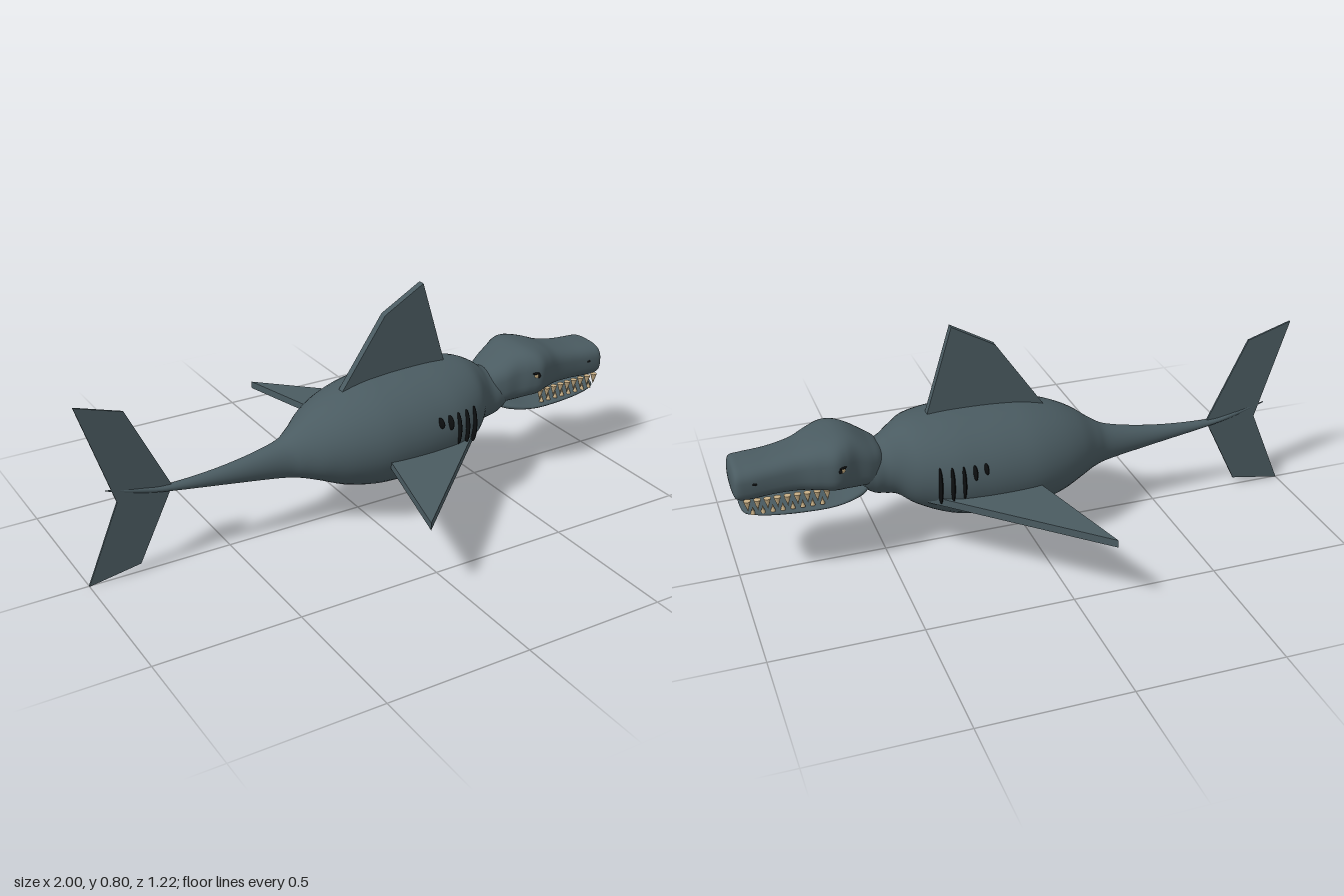
import * as THREE from 'three';

const mat = (name, color, side = THREE.FrontSide) => {
  const m = new THREE.MeshStandardMaterial({ color, side });
  m.name = name;
  return m;
};

// Closed skin through cross-sections [x, top, bottom, halfWidth]; power < 1 squares the section off
function loft(sections, power, steps, sides = 32) {
  const sizes = new THREE.CatmullRomCurve3(sections.map(s => new THREE.Vector3(s[1], s[2], s[3])));
  const xs = new THREE.CatmullRomCurve3(sections.map(s => new THREE.Vector3(s[0], 0, 0)));
  sizes.curveType = xs.curveType = 'catmullrom';
  const bend = v => Math.sign(v) * Math.pow(Math.abs(v), power);
  const pos = [], index = [];
  for (let i = 0; i <= steps; i++) {
    const s = sizes.getPoint(i / steps), x = xs.getPoint(i / steps).x;
    for (let j = 0; j < sides; j++) {
      const a = (j / sides) * Math.PI * 2;
      pos.push(x, (s.x + s.y) / 2 + bend(Math.sin(a)) * (s.x - s.y) / 2, bend(Math.cos(a)) * s.z);
      if (i < steps) {
        const p = i * sides + j, q = i * sides + (j + 1) % sides;
        index.push(p, p + sides, q + sides, p, q + sides, q);
      }
    }
  }
  const g = new THREE.BufferGeometry();
  g.setAttribute('position', new THREE.Float32BufferAttribute(pos, 3));
  g.setIndex(index);
  g.computeVertexNormals();
  return g;
}

// Flat fin of constant thickness, centred on its own plane
function finGeometry(points, thickness) {
  const shape = new THREE.Shape(points.map(p => new THREE.Vector2(...p)));
  const g = new THREE.ExtrudeGeometry(shape, { depth: thickness, bevelEnabled: false });
  return g.translate(0, 0, -thickness / 2);
}

export function createModel() {
  const group = new THREE.Group();
  const skin = mat('slate skin', 0x4a5b61);
  const black = mat('black', 0x0c0e0f);
  const ivory = mat('ivory teeth', 0xc9b086);
  const amber = mat('eye', 0xb09a72);
  const add = (name, geometry, material, x = 0, y = 0, z = 0) => {
    const m = new THREE.Mesh(geometry, material);
    m.name = name;
    m.position.set(x, y, z);
    group.add(m);
    return m;
  };

  // Body, from the thin tail stalk to the neck
  add('body', loft([
    [-0.92, 0.327, 0.323, 0.001], [-0.8, 0.303, 0.285, 0.008], [-0.7, 0.29, 0.265, 0.015],
    [-0.5, 0.302, 0.235, 0.03], [-0.32, 0.335, 0.208, 0.052], [-0.25, 0.37, 0.195, 0.085],
    [-0.18, 0.42, 0.172, 0.137], [-0.1, 0.458, 0.14, 0.18], [0, 0.485, 0.119, 0.212],
    [0.1, 0.496, 0.115, 0.222], [0.2, 0.5, 0.121, 0.222], [0.3, 0.499, 0.141, 0.212],
    [0.4, 0.488, 0.185, 0.172], [0.46, 0.462, 0.225, 0.117], [0.5, 0.433, 0.234, 0.097],
    [0.54, 0.42, 0.245, 0.094], [0.58, 0.41, 0.28, 0.08], [0.61, 0.36, 0.34, 0.002],
  ], 1, 102, 40), skin);

  // Head with brow and boxy snout
  add('head', loft([
    [0.49, 0.37, 0.36, 0.004], [0.51, 0.42, 0.31, 0.07], [0.55, 0.45, 0.295, 0.098],
    [0.6, 0.483, 0.295, 0.112], [0.64, 0.495, 0.303, 0.133], [0.68, 0.493, 0.308, 0.143],
    [0.73, 0.481, 0.312, 0.122], [0.79, 0.46, 0.315, 0.097], [0.87, 0.444, 0.315, 0.09],
    [0.95, 0.437, 0.311, 0.092], [0.985, 0.433, 0.315, 0.089], [0.997, 0.415, 0.33, 0.072],
    [1, 0.39, 0.355, 0.04], [1, 0.373, 0.371, 0.001],
  ], 0.68, 91, 40), skin);

  // Lower jaw, curving up to the tip
  add('lowerJaw', loft([
    [0.55, 0.291, 0.289, 0.002], [0.56, 0.3, 0.275, 0.06], [0.6, 0.294, 0.262, 0.092],
    [0.68, 0.278, 0.254, 0.108], [0.78, 0.275, 0.251, 0.104], [0.88, 0.281, 0.256, 0.098],
    [0.95, 0.288, 0.264, 0.084], [0.974, 0.291, 0.269, 0.06], [0.98, 0.282, 0.28, 0.002],
  ], 0.8, 64), skin);

  // Upright fins
  add('dorsalFin', finGeometry([
    [-0.08, 0.45], [0.1, 0.71], [0.25, 0.795], [0.345, 0.48], [0.3, 0.4], [0, 0.4],
  ], 0.025), skin);
  add('tailFin', finGeometry([
    [-1, 0.632], [-0.84, 0.582], [-0.695, 0.285], [-0.82, 0.03], [-1, 0], [-0.885, 0.275],
  ], 0.007), skin);

  const toothGeo = new THREE.ConeGeometry(0.012, 0.04, 8);
  const dot = new THREE.SphereGeometry(1, 16, 12);
  const gills = [[0.2, 0.35], [0.238, 0.335], [0.275, 0.268], [0.312, 0.26], [0.35, 0.253]];

  for (const side of [1, -1]) {
    const label = side > 0 ? 'left' : 'right';

    // Swept side fins
    const fin = finGeometry([[0.025, 0.14 * side], [-0.1, 0.61 * side], [0.385, 0.15 * side]], 0.026);
    add(label + 'SideFin', fin.rotateX(Math.PI / 2), skin, 0, 0.257, 0);

    // Gill slits, longer towards the head
    gills.forEach(([x, low], i) => {
      const z = [0.212, 0.212, 0.206, 0.2, 0.188][i];
      add(label + 'Gill', dot, black, x, (low + 0.387) / 2, z * side)
        .scale.set(0.007, (0.387 - low) / 2, 0.023);
    });

    // Eye, pupil and nostril
    add(label + 'Eye', dot, amber, 0.66, 0.408, 0.132 * side).scale.set(0.013, 0.011, 0.011);
    add(label + 'Pupil', dot, black, 0.665, 0.408, 0.14 * side).scale.set(0.006, 0.008, 0.006);
    add(label + 'EyeLid', dot, black, 0.66, 0.418, 0.131 * side).scale.set(0.019, 0.006, 0.012);
    add(label + 'Nostril', dot, black, 0.932, 0.385, 0.088 * side).scale.set(0.011, 0.006, 0.005);

    // Teeth along the jaw edges
    for (let i = 0; i < 9; i++) {
      const x = 0.705 + i * 0.032;
      const z = (0.1 - 0.012 * (i / 8)) * side;
      add(label + 'UpperTooth', toothGeo, ivory, x, 0.309, z).rotation.x = Math.PI;
      if (i < 8) add(label + 'LowerTooth', toothGeo, ivory, x + 0.016, 0.289, z * 0.92).scale.set(0.7, 0.7, 0.7);
    }
  }
  return group;
}
